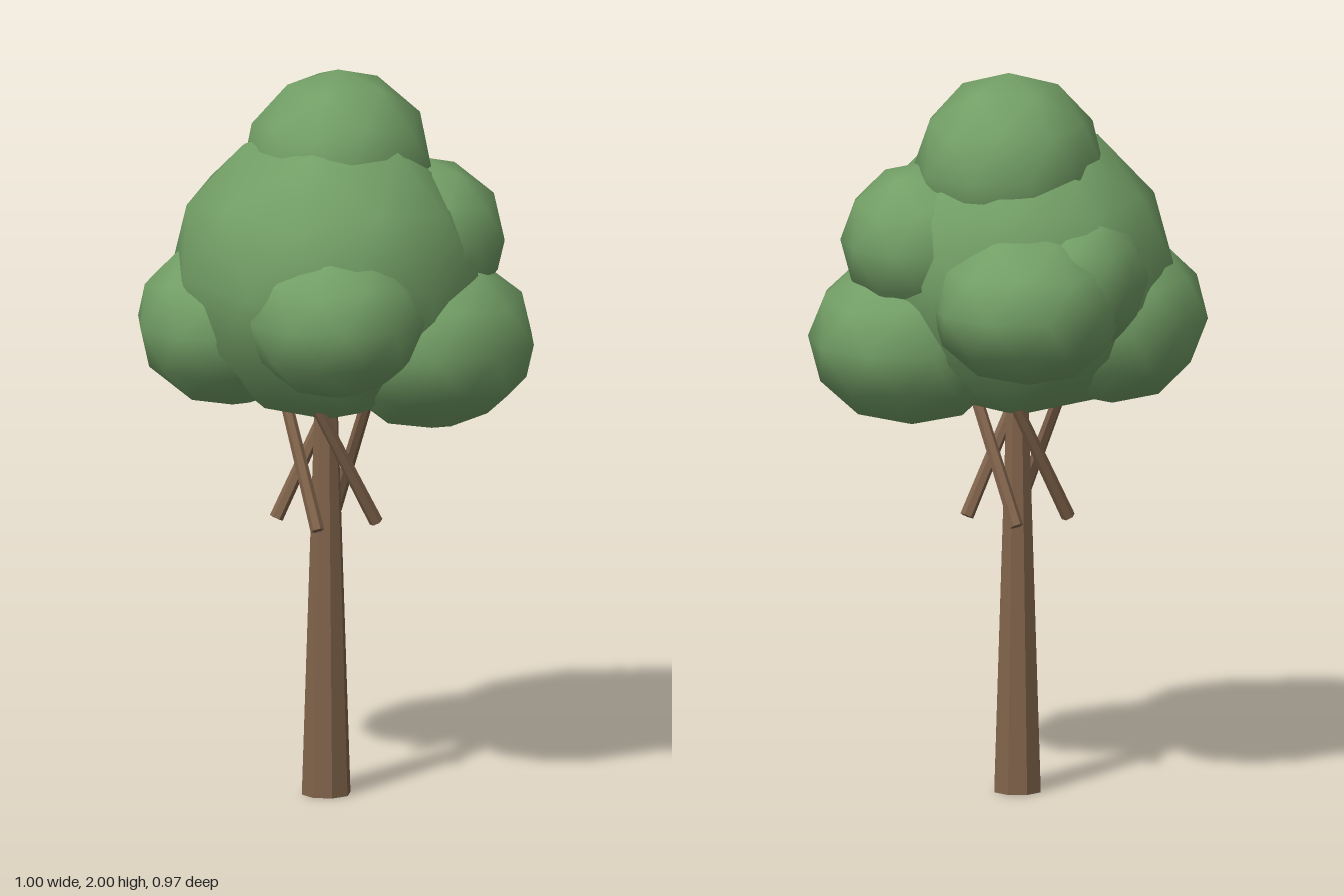
import * as THREE from 'three';

const TRUNK_X = -0.02, TRUNK_Z = 0.037;

export function createModel() {
  const tree = new THREE.Group();
  tree.name = 'tree';
  const bark = new THREE.MeshStandardMaterial({ color: 0x80634b, flatShading: true });
  const leaf = new THREE.MeshStandardMaterial({ color: 0x739f66 });

  const add = (name, geometry, material) => {
    const mesh = new THREE.Mesh(geometry, material);
    mesh.name = name;
    tree.add(mesh);
    return mesh;
  };

  // Tapered eight-sided trunk, ending inside the crown
  add('trunk', new THREE.CylinderGeometry(0.03, 0.068, 1.15, 8), bark)
    .position.set(TRUNK_X, 0.575, TRUNK_Z);

  // Four slanted branches, each a quarter turn from the last
  const up = new THREE.Vector3(0, 1, 0);
  for (let i = 0; i < 4; i++) {
    const place = (x, y, z) => new THREE.Vector3(x, y, z)
      .applyAxisAngle(up, i * Math.PI / 2)
      .add(new THREE.Vector3(TRUNK_X, 0, TRUNK_Z));
    const low = place(0.05, 0.76, 0.128);
    const high = place(-0.12, 1.12, 0.03);
    const along = high.clone().sub(low);
    const branch = add('branch' + (i + 1),
      new THREE.CylinderGeometry(0.016, 0.019, along.length(), 6), bark);
    branch.position.copy(low).add(high).multiplyScalar(0.5);
    branch.quaternion.setFromUnitVectors(up, along.normalize());
  }

  // Leaf clumps: smooth low-poly balls with a corner pointing straight up
  const clumps = [
    // name, centre, radii
    ['crownCore', [-0.02, 1.455, 0.037], [0.43, 0.415, 0.413]],
    ['crownTop', [-0.02, 1.74, -0.025], [0.257, 0.26, 0.275]],
    ['leftClump', [0.235, 1.263, -0.095], [0.28, 0.243, 0.307]],
    ['rightClump', [-0.255, 1.31, 0.14], [0.258, 0.237, 0.285]],
    ['frontClump', [0.13, 1.375, 0.24], [0.252, 0.22, 0.24]],
    ['backClump', [-0.15, 1.4, -0.203], [0.263, 0.22, 0.282]],
    ['upperLeftClump', [0.175, 1.54, -0.13], [0.237, 0.22, 0.24]],
    ['upperRightClump', [-0.265, 1.46, -0.095], [0.175, 0.2, 0.215]],
  ];
  const tilt = Math.atan(2 / (1 + Math.sqrt(5)));
  for (const [name, centre, radii] of clumps) {
    const ball = new THREE.IcosahedronGeometry(1, 1)
      .rotateZ(tilt).rotateY(Math.PI).scale(...radii);
    add(name, ball, leaf).position.set(...centre);
  }
  return tree;
}
